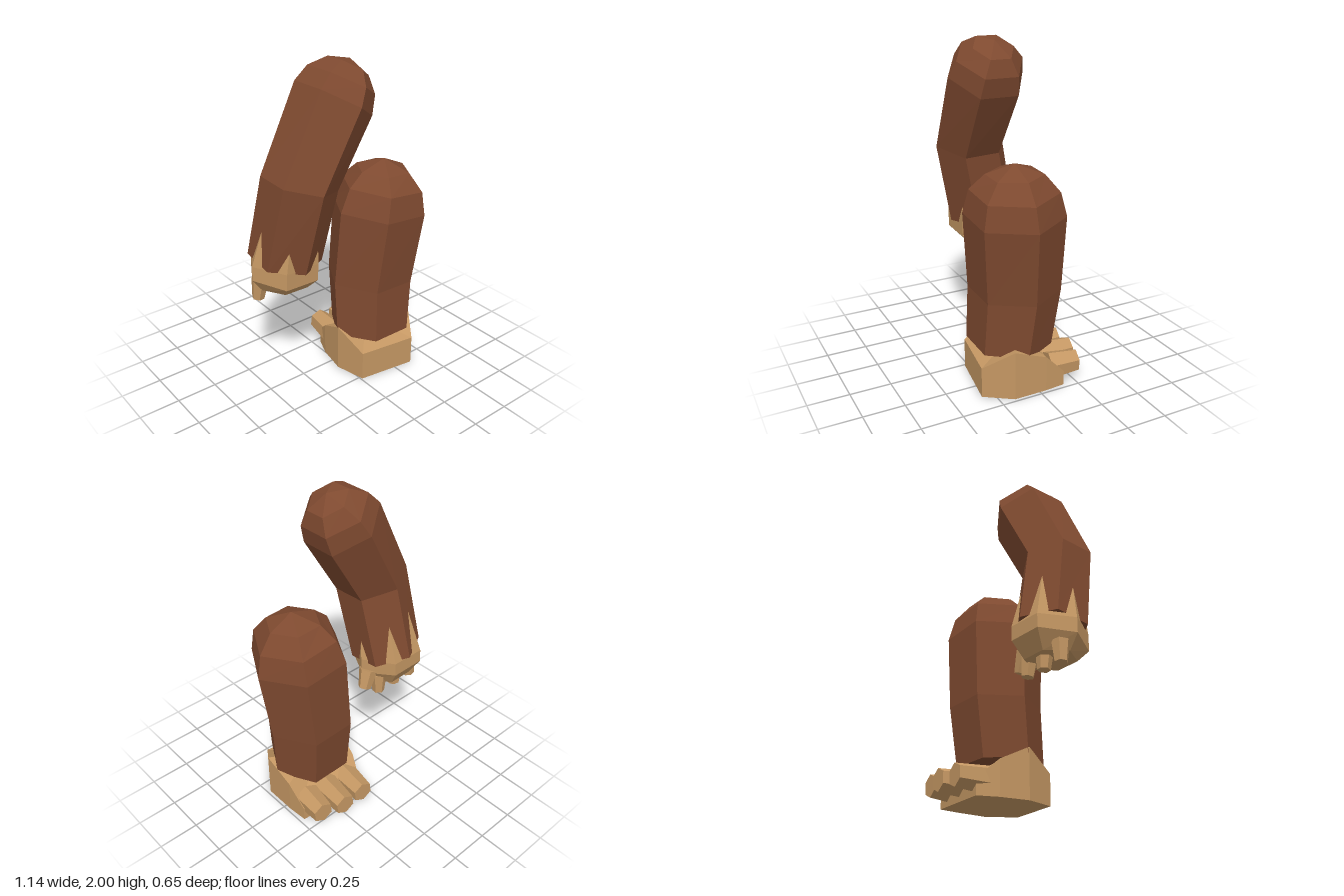
import * as THREE from 'three';

const V = (x, y, z) => new THREE.Vector3(x, y, z);

// Six-sided ring: centre plus two half-axes (b is the distance to the flat side)
function hexRing(c, a, b) {
  const pts = [];
  for (let i = 0; i < 6; i++) {
    const t = (i * Math.PI) / 3;
    pts.push(V(...c)
      .addScaledVector(V(...a), Math.cos(t))
      .addScaledVector(V(...b), Math.sin(t) / 0.866));
  }
  return pts;
}

// Faceted skin through rings listed bottom to top, closed by fans to two end points
function loft(rings, bottom, top) {
  const pos = [];
  const tri = (...p) => p.forEach((v) => pos.push(v.x, v.y, v.z));
  const n = rings[0].length;
  for (let i = 0; i < n; i++) {
    const j = (i + 1) % n;
    tri(V(...bottom), rings[0][j], rings[0][i]);
    for (let r = 0; r < rings.length - 1; r++) {
      const lo = rings[r], hi = rings[r + 1];
      tri(lo[i], lo[j], hi[j]);
      tri(lo[i], hi[j], hi[i]);
    }
    const last = rings[rings.length - 1];
    tri(last[i], last[j], V(...top));
  }
  const g = new THREE.BufferGeometry();
  g.setAttribute('position', new THREE.Float32BufferAttribute(pos, 3));
  g.computeVertexNormals();
  return g;
}

export function createModel() {
  const fur = new THREE.MeshStandardMaterial({ color: 0x7f4a30, flatShading: true });
  fur.name = 'brown fur';
  const skin = new THREE.MeshStandardMaterial({ color: 0xc49763, flatShading: true });
  skin.name = 'tan skin';

  const model = new THREE.Group();
  model.name = 'armAndLeg';
  const leg = new THREE.Group();
  leg.name = 'leg';
  const arm = new THREE.Group();
  arm.name = 'arm';
  model.add(leg, arm);

  const add = (parent, name, geometry, material) => {
    const mesh = new THREE.Mesh(geometry, material);
    mesh.name = name;
    parent.add(mesh);
    return mesh;
  };

  // Tapered six-sided digit running from one point to another
  const digit = (parent, name, from, to, r0, r1) => {
    const a = V(...from), d = V(...to).sub(a);
    const mesh = add(parent, name, new THREE.CylinderGeometry(r1, r0, d.length(), 6), skin);
    mesh.position.copy(a).addScaledVector(d, 0.5);
    mesh.quaternion.setFromUnitVectors(V(0, 1, 0), d.normalize());
  };

  // Leg: ankle, shin, thigh and rounded top
  add(leg, 'furryLeg', loft([
    hexRing([0.222, 0.24, 0.075], [0.256, -0.004, 0], [0, -0.015, -0.22]),
    hexRing([0.238, 0.585, 0.048], [0.273, -0.01, 0], [0, 0, -0.237]),
    hexRing([0.28, 1.05, 0.07], [0.288, -0.025, 0], [0, 0.005, -0.256]),
    hexRing([0.295, 1.195, 0.078], [0.245, -0.025, 0], [0, 0.005, -0.225]),
    hexRing([0.3, 1.292, 0.08], [0.16, -0.008, 0], [0, 0.005, -0.145]),
  ], [0.222, 0.24, 0.075], [0.305, 1.355, 0.085]), fur);

  // Foot: outline as x, z and the height of its upper edge
  const outline = [
    [0.01, 0.27, 0.185], [0.37, 0.325, 0.185], [0.48, 0.165, 0.3], [0.48, -0.04, 0.22],
    [0.47, -0.165, 0.09], [0.05, -0.22, 0.1], [0, -0.1, 0.21], [-0.035, 0.08, 0.3],
  ];
  add(leg, 'foot', loft([
    outline.map(([x, z]) => V(x, 0, z)),
    outline.map(([x, z, y]) => V(x, y, z)),
  ], [0.22, 0, 0.05], [0.22, 0.27, 0.05]), skin);

  // Toes
  [[0.09, 0.113, -0.318], [0.245, 0.266, -0.322], [0.39, 0.41, -0.28]].forEach(([x0, x1, z1], i) =>
    digit(leg, 'toe' + (i + 1), [x0, 0.105, -0.1], [x1, 0.108, z1], 0.086, 0.068));

  // Arm: wrist, elbow, shoulder and rounded top
  add(arm, 'furryArm', loft([
    hexRing([-0.347, 0.865, -0.025], [-0.005, -0.03, 0.212], [0.19, -0.022, 0]),
    hexRing([-0.303, 1.345, 0.075], [0, -0.01, 0.218], [0.183, -0.05, 0]),
    hexRing([-0.065, 1.782, 0.075], [0, 0, 0.235], [0.175, -0.103, 0]),
    hexRing([-0.012, 1.875, 0.075], [0, 0, 0.205], [0.153, -0.085, 0]),
    hexRing([0.033, 1.945, 0.075], [0, 0, 0.125], [0.093, -0.055, 0]),
  ], [-0.347, 0.865, -0.025], [0.045, 1.985, 0.075]), fur);

  // Hand: palm flaring out, then narrowing into the wrist so its edges pierce the sleeve
  add(arm, 'hand', loft([
    hexRing([-0.355, 0.69, -0.03], [0.155, -0.005, 0], [0, 0, -0.125]),
    hexRing([-0.355, 0.775, -0.03], [0.218, -0.005, 0], [0, 0.02, -0.186]),
    hexRing([-0.352, 0.87, -0.028], [0.219, 0, 0], [0, 0.01, -0.187]),
    hexRing([-0.33, 1.15, 0.01], [0.17, 0, 0], [0, 0, -0.145]),
  ], [-0.355, 0.69, -0.03], [-0.33, 1.15, 0.01]), skin);

  // Fingers and thumb
  [[-0.49, -0.502], [-0.362, -0.364], [-0.235, -0.228]].forEach(([x0, x1], i) =>
    digit(arm, 'finger' + (i + 1), [x0, 0.74, -0.08], [x1, 0.615, -0.09], 0.053, 0.037));
  digit(arm, 'thumb', [-0.175, 0.79, -0.05], [-0.135, 0.67, -0.06], 0.06, 0.04);

  return model;
}
